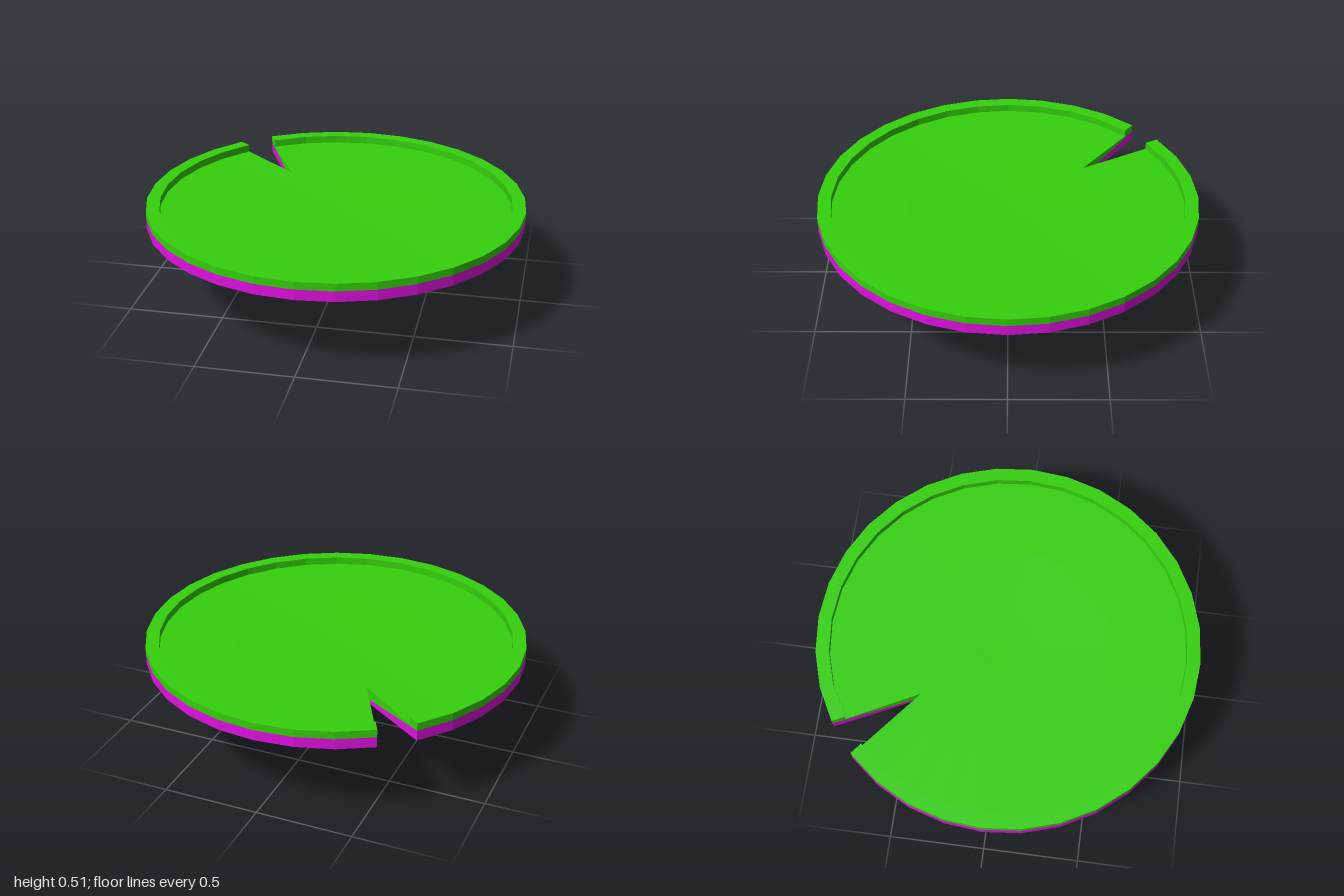
import * as THREE from 'three';

const SEGMENTS = 32;            // full circle; one segment is cut out as the notch
const LAST = SEGMENTS - 1;
const STEP = (Math.PI * 2) / SEGMENTS;
const START = Math.PI / 4;      // first edge of the notch, measured from the back
const APEX_R = 0.53;            // radius where the notch ends
const SEAM_Y = 0.47;            // height where upper and lower layers meet

const polar = (angle, r, y) => new THREE.Vector3(-r * Math.sin(angle), y, -r * Math.cos(angle));

// Point on a column; the two notch columns bend to a shared apex
function point(i, r, y) {
  const angle = START + i * STEP;
  if (i !== 0 && i !== LAST) return polar(angle, r, y);
  const middle = START - STEP / 2;
  if (r <= APEX_R) return polar(middle, r, y);
  const t = (r - APEX_R) / (1 - APEX_R);
  return polar(middle, APEX_R, y).lerp(polar(angle, 1, y), t);
}

// Sweeps a profile of [radius, height] round the disc and closes the notch with flat walls
function notchedDisc(profile, wall) {
  const pos = [];
  const tri = (a, b, c) => {
    for (const p of [a, b, c]) pos.push(p.x, p.y, p.z);
  };
  for (let i = 0; i < LAST; i++) {
    for (let j = 0; j < profile.length - 1; j++) {
      const a = point(i, ...profile[j]);
      const b = point(i, ...profile[j + 1]);
      const c = point(i + 1, ...profile[j + 1]);
      const d = point(i + 1, ...profile[j]);
      if (profile[j + 1][0] > 0) tri(a, b, c);
      if (profile[j][0] > 0) tri(a, c, d);
    }
  }
  for (let k = 1; k < wall.length - 1; k++) {
    const fan = [wall[0], wall[k], wall[k + 1]];
    const [a, b, c] = fan.map((p) => point(LAST, ...p));
    tri(a, b, c);
    const [d, e, f] = fan.map((p) => point(0, ...p));
    tri(d, f, e);
  }
  const geo = new THREE.BufferGeometry();
  geo.setAttribute('position', new THREE.Float32BufferAttribute(pos, 3));
  geo.computeVertexNormals();
  return geo;
}

export function createModel() {
  const group = new THREE.Group();
  const green = new THREE.MeshStandardMaterial({ color: 0x35d00c, flatShading: true });
  const magenta = new THREE.MeshStandardMaterial({ color: 0xe010e0, flatShading: true });

  const add = (name, geometry, material) => {
    const mesh = new THREE.Mesh(geometry, material);
    mesh.name = name;
    group.add(mesh);
    return mesh;
  };

  const apexSeam = [APEX_R, 0.4];

  // Upper leaf: shallow dish with a raised lip
  const top = [[0, 0.448], [0.13, 0.45], [APEX_R, 0.463], [0.93, SEAM_Y], [0.93, 0.51], [1, 0.51], [1, SEAM_Y]];
  add('leafTop', notchedDisc(top, [[1, SEAM_Y], apexSeam, ...top.slice(2, 6)]), green);

  // Lower leaf: rim band and shallow cone
  const under = [[1, SEAM_Y], [1, 0.415], [APEX_R, 0.38], [0, 0.34]];
  add('leafUnderside', notchedDisc(under, [...under.slice(0, 3), apexSeam]), magenta);

  // Stem
  const stem = add('stem', new THREE.CylinderGeometry(0.025, 0.025, 0.35, 12), magenta);
  stem.position.y = 0.175;

  return group;
}
